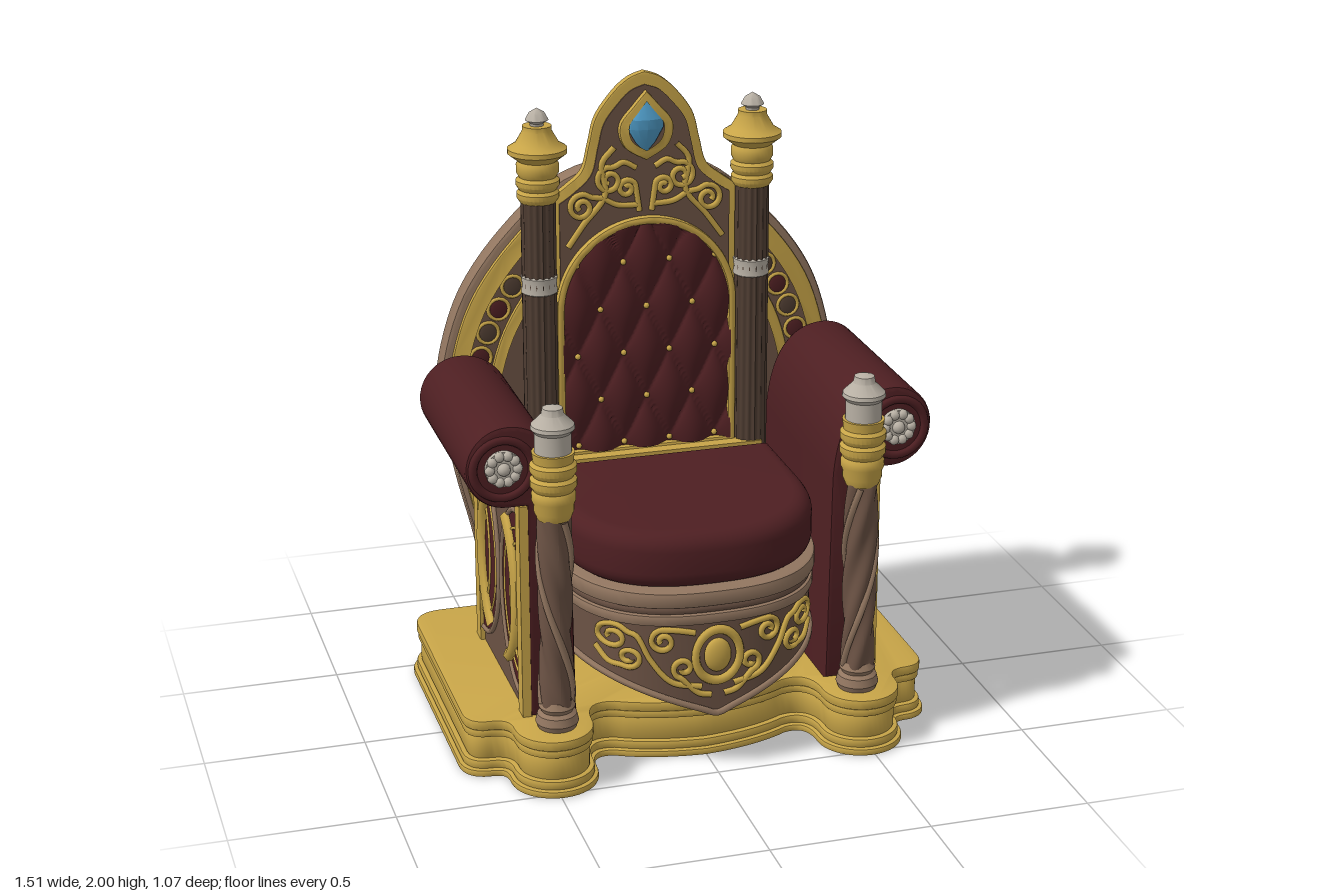
import * as THREE from 'three';
import { toCreasedNormals } from 'three/addons/utils/BufferGeometryUtils.js';

const mat = (name, color) => Object.assign(new THREE.MeshStandardMaterial({ color }), { name });
const V2 = (x, y) => new THREE.Vector2(x, y);
const V3 = (x, y, z) => new THREE.Vector3(x, y, z);

export function createModel() {
  const gold = mat('gold', 0xc8a548), maroon = mat('maroon', 0x4e1f22), dark = mat('darkWood', 0x4f3d32);
  const wood = mat('wood', 0x6b5244), tan = mat('lightWood', 0x927660), ivory = mat('ivory', 0xb8b0a4);
  const blue = mat('gemBlue', 0x4f9cc8);
  const model = new THREE.Group();
  model.name = 'throne';

  const add = (name, geo, material, x = 0, y = 0, z = 0, parent = model) => {
    const m = new THREE.Mesh(geo, material);
    m.name = name;
    m.position.set(x, y, z);
    parent.add(m);
    return m;
  };
  const box = (w, h, d) => new THREE.BoxGeometry(w, h, d);
  const lathe = (pts, seg = 32) => toCreasedNormals(new THREE.LatheGeometry(pts.map(p => V2(...p)), seg), 0.6);
  const tube = (pts, r, seg = 32) =>
    new THREE.TubeGeometry(new THREE.CatmullRomCurve3(pts), seg, r, 6, false);
  // extrusion starting at z = 0, with an optional bevel and outline offset
  const extrude = (shape, depth, b = 0, offset = 0, bevelSegments = 2) =>
    new THREE.ExtrudeGeometry(shape, {
      depth: depth - 2 * b, bevelEnabled: b > 0, bevelThickness: b, bevelSize: b,
      bevelOffset: offset - b, bevelSegments, curveSegments: 24,
    }).translate(0, 0, b);
  const plate = (...a) => toCreasedNormals(extrude(...a), 0.6);
  const slab = (...a) => toCreasedNormals(extrude(...a).rotateX(-Math.PI / 2), 0.6);
  // closed outline from its +x half
  const mirrorPts = pts => pts.concat(pts.filter(p => p.x > 1e-4).reverse().map(p => V2(-p.x, p.y)));
  const symmetric = pts => new THREE.Shape(mirrorPts(pts));
  const ring = (outer, inner) => {
    const s = symmetric(outer);
    s.holes.push(new THREE.Path(mirrorPts(inner)));
    return s;
  };
  const spline = (pts, n = 40) => new THREE.SplineCurve(pts.map(p => V2(...p))).getPoints(n);
  // stem that ends in a spiral curl
  const scroll = (stem, cx, cy, R, a0, turns, s, zAt) => {
    const pts = stem.map(p => V3(s * p[0], p[1], zAt(p[0])));
    for (let i = 0; i <= 14; i++) {
      const k = i / 14, a = a0 + k * turns * Math.PI * 2, r = R * (1 - 0.75 * k);
      const x = cx + r * Math.cos(a);
      pts.push(V3(s * x, cy + r * Math.sin(a), zAt(x)));
    }
    return tube(pts, 0.0095, 60);
  };

  // stepped base with two front lobes
  const half = new THREE.Shape();
  half.moveTo(0, 0.515);
  half.lineTo(0.635, 0.515);
  half.quadraticCurveTo(0.735, 0.515, 0.735, 0.415);
  half.lineTo(0.735, -0.24);
  half.quadraticCurveTo(0.735, -0.315, 0.665, -0.315);
  half.bezierCurveTo(0.62, -0.32, 0.605, -0.34, 0.605, -0.39);
  half.absarc(0.49, -0.395, 0.115, 0, -Math.PI, true);
  half.bezierCurveTo(0.375, -0.31, 0.34, -0.27, 0.27, -0.29);
  half.quadraticCurveTo(0.16, -0.35, 0, -0.36);
  const baseShape = symmetric(half.getPoints(10));
  [[0, 0.022, 0.02], [0.022, 0.05, 0.008], [0.05, 0.125, -0.006], [0.125, 0.15, 0.002], [0.15, 0.182, 0.006]]
    .forEach(([y0, y1, o], i) => add('baseStep' + i, slab(baseShape, y1 - y0, 0.005, o), gold, 0, y0));

  // egg-shaped rear panel
  const egg = spline([[0, 1.72], [0.24, 1.66], [0.43, 1.5], [0.57, 1.31], [0.64, 1.1], [0.645, 0.95],
    [0.6, 0.7], [0.54, 0.45], [0.5, 0.182]]);
  const eggAt = k => egg.map(p => V2(p.x * k, 0.182 + (p.y - 0.182) * (k + 1) / 2))
    .concat(V2(0, 0.182));
  add('rearPanel', plate(symmetric(eggAt(1)), 0.08, 0.012), tan, 0, 0, -0.45);
  add('rearPanelBack', plate(symmetric(eggAt(0.965)), 0.006), dark, 0, 0, -0.454);
  add('rearPanelField', plate(symmetric(eggAt(0.94)), 0.008), wood, 0, 0, -0.373);
  const inner = k => eggAt(k).map(p => V2(p.x, Math.max(p.y, 0.2)));
  add('rearPanelRim', plate(ring(eggAt(0.965), inner(0.9)), 0.02, 0.006), gold, 0, 0, -0.372);
  add('rearPanelInnerRim', plate(ring(eggAt(0.78), inner(0.74)), 0.02, 0.006), gold, 0, 0, -0.372);
  const inlayPath = eggAt(0.84);
  for (const s of [-1, 1]) for (let i = 12; i < 34; i += 2) {
    const p = inlayPath[i];
    const oval = add('panelInlay', new THREE.SphereGeometry(0.033, 12, 8), i % 4 ? maroon : dark, s * p.x, p.y, -0.366);
    oval.scale.set(0.9, 1.1, 0.2);
    add('panelInlayRing', new THREE.TorusGeometry(0.034, 0.006, 6, 16), gold, s * p.x, p.y, -0.364);
  }

  // back plate with pointed crest
  const crestTop = [[0, 2], [0.05, 1.982], [0.1, 1.94], [0.155, 1.865], [0.178, 1.78], [0.2, 1.7], [0.25, 1.655], [0.3, 1.62]];
  const crest = spline(crestTop).concat(V2(0.3, 0.182), V2(0, 0.182));
  add('backPlate', plate(symmetric(crest), 0.03, 0.005), gold, 0, 0, -0.335);
  const crestInset = crest.map(p => V2(Math.max(0, p.x - (p.x > 0.03 ? 0.012 : 0)), p.y - (p.y > 1 ? 0.014 : 0)));
  add('crestBack', plate(symmetric(crestInset), 0.005), dark, 0, 0, -0.339);
  const field = spline([[0, 1.96], [0.045, 1.943], [0.085, 1.905], [0.13, 1.845], [0.15, 1.77], [0.172, 1.685],
    [0.23, 1.63], [0.275, 1.6]]).concat(V2(0.275, 1.25), V2(0, 1.25));
  add('crestField', plate(symmetric(field), 0.006), wood, 0, 0, -0.306);
  const crestZ = () => -0.296;
  for (const s of [-1, 1]) {
    add('crestScroll', scroll([[0.03, 1.7], [0.07, 1.72]], 0.115, 1.665, 0.045, 1.9, -1.5, s, crestZ), gold);
    add('crestScroll', scroll([[0.02, 1.58], [0.09, 1.585], [0.14, 1.61]], 0.205, 1.585, 0.045, 2.4, -1.5, s, crestZ), gold);
    add('crestScroll', scroll([[0.02, 1.56], [0.03, 1.63]], 0.06, 1.635, 0.03, 2.6, -1.3, s, crestZ), gold);
    add('crestStem', tube([V3(s * 0.25, 1.46, -0.296), V3(s * 0.2, 1.53, -0.296), V3(s * 0.13, 1.62, -0.296),
      V3(s * 0.14, 1.72, -0.296), V3(s * 0.1, 1.77, -0.296)], 0.01), gold);
  }
  // gem in a teardrop setting
  const drop = spline([[0, 1.945], [0.04, 1.9], [0.085, 1.84], [0.07, 1.77], [0, 1.725]], 24);
  const dropIn = drop.map(p => V2(p.x * 0.72, 1.835 + (p.y - 1.835) * 0.78));
  add('gemSetting', plate(ring(drop, dropIn), 0.025, 0.006), gold, 0, 0, -0.302);
  add('gem', lathe([[0, -0.09], [0.032, -0.055], [0.058, -0.01], [0.058, 0.02], [0.025, 0.065], [0, 0.092]], 12),
    blue, 0, 1.835, -0.292).scale.z = 0.45;

  // arched tufted backrest
  const arch = r => [V2(0, 0.78)].concat(Array.from({ length: 21 }, (_, i) => {
    const a = i / 20 * Math.PI / 2;
    return i ? V2(r * Math.cos(a), 1.25 + r * Math.sin(a)) : V2(r, 1.25);
  }));
  const archOutline = (r, y0) => [V2(0, y0), V2(r, y0)].concat(arch(r).slice(1));
  add('backrestFrame', plate(ring(archOutline(0.293, 0.74), archOutline(0.268, 0.785)), 0.03, 0.008), gold, 0, 0, -0.305);
  const tuft = new THREE.PlaneGeometry(2, 0.745, 72, 90);
  const tp = tuft.attributes.position;
  for (let i = 0; i < tp.count; i++) {
    const u = tp.getX(i), y = tp.getY(i) + 0.3725 + 0.78;
    const w = y < 1.25 ? 0.275 : Math.sqrt(Math.max(0, 0.275 ** 2 - (y - 1.25) ** 2));
    const x = u * w, a = x / 0.15 + (y - 1.25) / 0.3, b = x / 0.15 - (y - 1.25) / 0.3;
    const puff = Math.sqrt(Math.abs(Math.sin(Math.PI * a) * Math.sin(Math.PI * b)));
    tp.setXYZ(i, x, y, -0.297 + 0.03 * puff);
  }
  tuft.computeVertexNormals();
  add('backrestCushion', tuft, maroon);
  for (let r = -3; r <= 1; r++) for (let c = -3; c <= 3; c++) {
    const x = c * 0.075, y = 1.25 + r * 0.15;
    if ((r + c) % 2 === 0 && Math.abs(x) < 0.24)
      add('tuftButton', new THREE.SphereGeometry(0.0095, 10, 8), gold, x, y, -0.288);
  }

  // seat: bow-fronted apron, mouldings and cushion
  const bow = (a, zf) => Array.from({ length: 25 }, (_, i) => {
    const t = i / 24 * Math.PI / 2;
    return V2(a * Math.sin(t) ** 0.8, -0.05 - (zf - 0.05) * Math.max(0, Math.cos(t)) ** 0.8);
  });
  const seatShape = (a, zf, zb) => symmetric(bow(a, zf).concat(V2(a, -zb), V2(0, -zb)));
  const bottomAt = x => 0.195 + 0.155 * Math.abs(x) / 0.4;
  const apron = extrude(seatShape(0.395, 0.48, -0.29), 0.32).rotateX(-Math.PI / 2);
  const ap = apron.attributes.position;
  for (let i = 0; i < ap.count; i++) ap.setY(i, ap.getY(i) < 0.1 ? bottomAt(ap.getX(i)) : 0.51);
  add('seatApron', toCreasedNormals(apron, 0.6), wood);
  const edge = mirrorPts(bow(0.397, 0.482)).sort((a, b) => a.x - b.x);
  add('apronEdge', tube(edge.map(p => V3(p.x, bottomAt(p.x), -p.y)), 0.011, 80), tan);
  const rail = seatShape(0.4, 0.487, -0.29);
  [[0.495, 0.53, 0.004, tan], [0.53, 0.555, -0.003, wood], [0.555, 0.605, 0.009, tan]]
    .forEach(([y0, y1, o, m], i) => add('seatMoulding' + i, slab(rail, y1 - y0, 0.008, o), m, 0, y0));
  add('seatCushion', slab(seatShape(0.4, 0.475, -0.235), 0.18, 0.055, 0, 6), maroon, 0, 0.602);
  add('seatBackRail', box(0.74, 0.17, 0.05), gold, 0, 0.69, -0.258);

  // gilded ornament on the apron
  const apronZ = x => 0.05 + 0.435 * Math.max(0, 1 - Math.abs(x / 0.397) ** 2.5) ** 0.4;
  const medal = add('apronMedallion', new THREE.SphereGeometry(0.05, 20, 14), gold, 0, 0.39, 0.485);
  medal.scale.set(0.85, 1.1, 0.4);
  add('medallionRing', new THREE.TorusGeometry(0.07, 0.013, 8, 28), gold, 0, 0.39, 0.486).scale.y = 1.2;
  for (const s of [-1, 1]) {
    add('apronScroll', scroll([[0.05, 0.29], [0.14, 0.31], [0.2, 0.38], [0.24, 0.46]], 0.3, 0.445, 0.045, 2.6, -1.5, s, apronZ), gold);
    add('apronScroll', scroll([[0.07, 0.47], [0.12, 0.48]], 0.165, 0.445, 0.04, 1.9, -1.4, s, apronZ), gold);
    add('apronScroll', scroll([[0.34, 0.4], [0.31, 0.36]], 0.26, 0.385, 0.035, -1, -1.3, s, apronZ), gold);
    add('apronLeaf', scroll([[0.02, 0.26], [0.06, 0.27]], 0.105, 0.355, 0.035, -1.4, 1.2, s, apronZ), gold);
  }

  // fluted or twisted shaft
  const shaft = (r, h, ripple, n, twist) => {
    const g = new THREE.CylinderGeometry(r, r, h, 64, twist ? 40 : 1, true), p = g.attributes.position;
    for (let i = 0; i < p.count; i++) {
      const a = Math.atan2(p.getZ(i), p.getX(i)), k = 1 + ripple * Math.cos(n * (a + twist * p.getY(i)));
      p.setX(i, p.getX(i) * k);
      p.setZ(i, p.getZ(i) * k);
    }
    g.computeVertexNormals();
    return g;
  };

  for (const s of [-1, 1]) {
    const side = s > 0 ? 'left' : 'right';
    // rear column
    const col = new THREE.Group();
    col.name = side + 'RearColumn';
    col.position.set(s * 0.345, 0, -0.29);
    model.add(col);
    add('columnShaft', shaft(0.052, 1.45, 0.06, 16, 0), dark, 0, 0.905, 0, col);
    add('columnBand', lathe([[0.05, 1.325], [0.057, 1.33], [0.054, 1.355], [0.057, 1.38], [0.05, 1.385]]), ivory, 0, 0, 0, col);
    add('columnCapital', lathe([[0, 1.62], [0.056, 1.62], [0.066, 1.635], [0.066, 1.65], [0.058, 1.66], [0.068, 1.675],
      [0.068, 1.69], [0.058, 1.7], [0.066, 1.715], [0.066, 1.74], [0.06, 1.75], [0.092, 1.775], [0.092, 1.79],
      [0.068, 1.805], [0.045, 1.845], [0.045, 1.86], [0, 1.86]]), gold, 0, 0, 0, col);
    add('columnFinial', lathe([[0.02, 1.855], [0.022, 1.868], [0.036, 1.878], [0.024, 1.9], [0, 1.915]]), ivory, 0, 0, 0, col);

    // front post
    const post = new THREE.Group();
    post.name = side + 'FrontPost';
    post.position.set(s * 0.48, 0, 0.4);
    model.add(post);
    add('postFoot', lathe([[0, 0.18], [0.058, 0.18], [0.066, 0.2], [0.06, 0.225], [0.048, 0.235], [0.056, 0.25], [0.046, 0.27]]),
      tan, 0, 0, 0, post);
    add('postShaft', shaft(0.048, 0.62, 0.1, 4, 7 * s), wood, 0, 0.56, 0, post);
    for (let k = 0; k < 2; k++) {
      const pts = Array.from({ length: 25 }, (_, i) => {
        const a = k * Math.PI - s * i / 24 * 4.3;
        return V3(0.047 * Math.cos(a), 0.26 + i / 24 * 0.6, 0.047 * Math.sin(a));
      });
      add('postTwist', tube(pts, 0.011, 60), tan, 0, 0, 0, post);
    }
    add('postCollar', lathe([[0, 0.86], [0.05, 0.86], [0.06, 0.885], [0.06, 0.905], [0.066, 0.92], [0.066, 0.94], [0.06, 0.95],
      [0.07, 0.965], [0.07, 0.985], [0.06, 0.995], [0.07, 1.01], [0.07, 1.03], [0.06, 1.04], [0.064, 1.07], [0, 1.07]]),
      gold, 0, 0, 0, post);
    add('postFinial', lathe([[0.055, 1.068], [0.055, 1.13], [0.066, 1.143], [0.064, 1.155], [0.034, 1.185], [0.03, 1.205],
      [0, 1.215]]), ivory, 0, 0, 0, post);

    // padded arm with rolled top
    const arm = new THREE.Shape();
    arm.moveTo(s * 0.4, 0.182);
    arm.lineTo(s * 0.41, 0.85);
    arm.bezierCurveTo(s * 0.42, 1.05, s * 0.5, 1.132, s * 0.6, 1.132);
    for (let i = 1; i <= 24; i++) {
      const a = Math.PI / 2 - i / 24 * Math.PI;
      arm.lineTo(s * (0.6 + 0.128 * Math.cos(a)), 1.002 + 0.13 * Math.sin(a));
    }
    arm.lineTo(s * 0.545, 0.872);
    arm.lineTo(s * 0.545, 0.182);
    add(side + 'Arm', plate(arm, 0.66, 0.014), maroon, 0, 0, -0.33);
    for (const z of [0.328, -0.328])
      add('armRollWelt', new THREE.TorusGeometry(0.09, 0.014, 8, 32), maroon, s * 0.615, 1, z);
    add('armRosette', new THREE.CylinderGeometry(0.055, 0.055, 0.02, 24).rotateX(Math.PI / 2), ivory, s * 0.615, 1.005, 0.335);
    for (let i = 0; i < 10; i++) {
      const a = i / 10 * Math.PI * 2;
      add('rosettePetal', new THREE.SphereGeometry(0.016, 8, 6), ivory,
        s * 0.615 + 0.042 * Math.cos(a), 1.005 + 0.042 * Math.sin(a), 0.343);
    }
    add('rosetteCentre', new THREE.SphereGeometry(0.02, 12, 8), ivory, s * 0.615, 1.005, 0.345);

    // inlaid outer side panel, drawn facing outwards
    const panel = new THREE.Group();
    panel.name = side + 'SidePanel';
    panel.position.set(s * 0.545, 0, 0.01);
    panel.rotation.y = s * Math.PI / 2;
    model.add(panel);
    add('panelField', box(0.62, 0.69, 0.012), wood, 0, 0.527, 0.002, panel);
    for (const k of [-1, 1]) {
      add('panelStile', box(0.055, 0.69, 0.03), gold, k * 0.288, 0.527, 0.008, panel);
      const lobe = new THREE.Shape();
      lobe.absellipse(k * 0.26, 0.53, 0.23, 0.29, k > 0 ? Math.PI / 2 : -Math.PI / 2, k > 0 ? Math.PI * 1.5 : Math.PI / 2);
      add('panelInlay', plate(lobe, 0.006), maroon, 0, 0, 0.006, panel);
      const arc = (rx, ry, cx, r, from, to, name, m) => {
        const pts = Array.from({ length: 17 }, (_, i) => {
          const a = from + (to - from) * i / 16;
          return V3(k * (cx + rx * Math.cos(a)), 0.53 + ry * Math.sin(a), 0);
        });
        add(name, tube(pts, r), m, 0, 0, 0.012, panel);
      };
      arc(0.24, 0.3, 0.26, 0.009, Math.PI / 2, Math.PI * 1.5, 'inlayBorder', tan);
      arc(0.19, 0.25, 0.04, 0.023, -1.2, 1.2, 'inlayBand', gold);
      arc(0.1, 0.19, 0.24, 0.006, Math.PI / 2, Math.PI * 1.5, 'inlayLine', gold);
      arc(0.2, 0.24, 0.26, 0.005, Math.PI / 2, Math.PI * 1.5, 'inlayLine', gold);
      add('inlayBridge', box(0.06, 0.14, 0.024), gold, k * 0.245, 0.53, 0.01, panel);
    }
  }
  return model;
}
